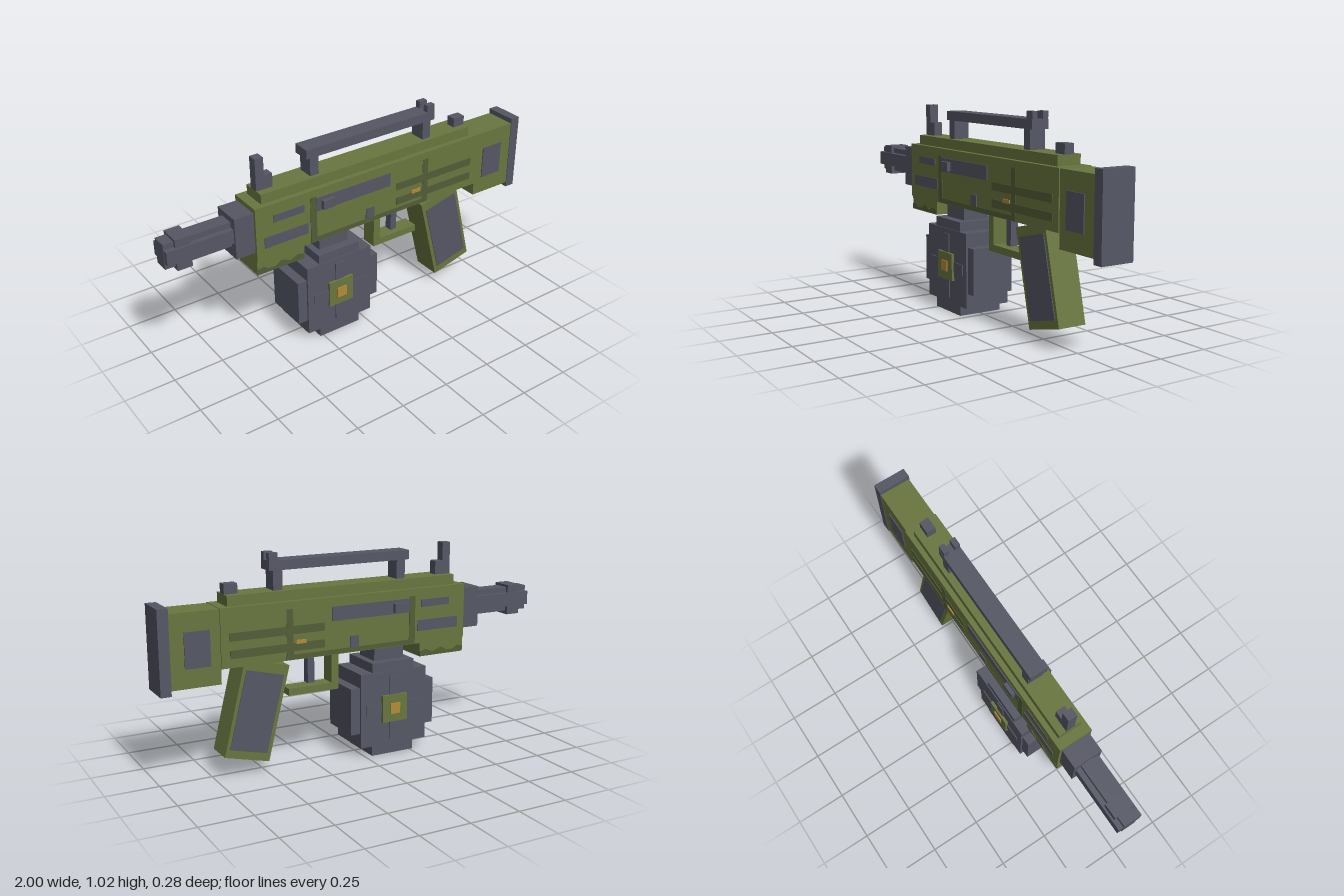
import * as THREE from 'three';

export function createModel() {
  const model = new THREE.Group();
  const paint = (name, color) => {
    const m = new THREE.MeshStandardMaterial({ color });
    m.name = name;
    return m;
  };
  const green = paint('olive green', 0x69763f);
  const darkGreen = paint('dark olive', 0x525d36);
  const grey = paint('gunmetal grey', 0x555764);
  const gold = paint('brass', 0xb38b38);

  const add = (name, geometry, material) => {
    const mesh = new THREE.Mesh(geometry, material);
    mesh.name = name;
    model.add(mesh);
    return mesh;
  };
  // Box from ranges in x, y and z
  const range = (name, mat, x0, x1, y0, y1, z0, z1) =>
    add(name, new THREE.BoxGeometry(x1 - x0, y1 - y0, z1 - z0), mat)
      .position.set((x0 + x1) / 2, (y0 + y1) / 2, (z0 + z1) / 2);
  // Box centred on z = 0
  const box = (name, mat, x0, x1, y0, y1, z) => range(name, mat, x0, x1, y0, y1, -z, z);
  // Thin plates on both sides, ending at distance z
  const plates = (name, mat, x0, x1, y0, y1, z, t = 0.008) => {
    range(name + 'Left', mat, x0, x1, y0, y1, z - t, z);
    range(name + 'Right', mat, x0, x1, y0, y1, -z, t - z);
  };
  // Side outline extruded to half width z
  const slab = (name, mat, points, z) => {
    const shape = new THREE.Shape(points.map(([x, y]) => new THREE.Vector2(x, y)));
    const g = new THREE.ExtrudeGeometry(shape, { depth: 2 * z, bevelEnabled: false });
    add(name, g.translate(0, 0, -z), mat);
  };

  // Barrel and collar
  box('barrelCore', grey, -1, -0.67, 0.63, 0.754, 0.037);
  box('barrelSides', grey, -0.998, -0.67, 0.658, 0.727, 0.062);
  box('muzzleRing', grey, -0.95, -0.877, 0.612, 0.766, 0.052);
  box('barrelCollar', grey, -0.675, -0.578, 0.578, 0.782, 0.073);

  // Receiver, stock and butt
  box('receiver', green, -0.578, 0.717, 0.53, 0.805, 0.086);
  box('topRail', green, -0.53, 0.673, 0.805, 0.853, 0.061);
  box('foregrip', green, -0.578, -0.325, 0.46, 0.53, 0.08);
  slab('foregripRidge', darkGreen, [[-0.577, 0.461], [-0.326, 0.461], [-0.326, 0.485],
    [-0.36, 0.495], [-0.4, 0.478], [-0.45, 0.497], [-0.48, 0.478], [-0.52, 0.478],
    [-0.545, 0.495], [-0.577, 0.488]], 0.082);
  box('stock', green, 0.717, 0.95, 0.46, 0.803, 0.08);
  plates('stockPanel', grey, 0.765, 0.885, 0.55, 0.716, 0.085);
  box('buttPlate', grey, 0.95, 1, 0.436, 0.828, 0.083);

  // Grooves and panels on the receiver
  plates('frontSeam', darkGreen, -0.29, -0.257, 0.555, 0.77, 0.089);
  plates('lowerSeam', darkGreen, -0.29, 0.4, 0.532, 0.555, 0.088);
  plates('rearSeam', darkGreen, 0.365, 0.398, 0.555, 0.77, 0.0885);
  for (const y of [0.572, 0.652]) plates('rearGroove', darkGreen, 0.205, 0.675, y, y + 0.038, 0.0895);
  plates('upperVent', grey, -0.487, -0.325, 0.712, 0.748, 0.09);
  plates('lowerVent', grey, -0.537, -0.305, 0.593, 0.647, 0.09);
  plates('ejectionPort', grey, -0.257, 0.165, 0.692, 0.76, 0.091);
  plates('catch', grey, 0.023, 0.07, 0.555, 0.61, 0.091);
  plates('brassPin', gold, 0.3, 0.352, 0.605, 0.623, 0.092);
  box('chargingKnob', grey, -0.232, -0.166, 0.7, 0.745, 0.11);

  // Sights and carrying handle
  box('frontSightBase', grey, -0.53, -0.445, 0.85, 0.92, 0.023);
  box('frontSightPost', grey, -0.53, -0.487, 0.9, 1.01, 0.023);
  box('rearBlock', grey, 0.607, 0.672, 0.85, 0.9, 0.024);
  for (const x of [-0.257, 0.394]) box('handlePost', grey, x, x + 0.046, 0.85, 0.95, 0.041);
  box('handleBar', grey, -0.278, 0.46, 0.945, 0.99, 0.045);
  for (const s of [-1, 1])
    range('rearSightProng', grey, 0.416, 0.46, 0.985, 1.025, s * 0.029 - 0.014, s * 0.029 + 0.014);

  // Drum magazine: three stacked blocks round one centre
  box('drumNeck', grey, -0.235, -0.072, 0.45, 0.535, 0.07);
  box('drumTall', grey, -0.267, -0.037, 0, 0.466, 0.115);
  box('drumMiddle', grey, -0.337, 0.028, 0.05, 0.42, 0.12);
  box('drumWide', grey, -0.385, 0.077, 0.122, 0.352, 0.11);
  plates('drumBarAcross', grey, -0.305, -0.003, 0.21, 0.262, 0.125);
  plates('drumBarUpright', grey, -0.18, -0.13, 0.075, 0.395, 0.125);
  plates('drumHub', green, -0.222, -0.086, 0.167, 0.302, 0.134, 0.015);
  plates('drumPin', gold, -0.18, -0.127, 0.208, 0.261, 0.14);

  // Trigger and guard
  box('guardPost', green, 0.107, 0.145, 0.345, 0.535, 0.04);
  box('guardBar', green, 0.107, 0.37, 0.345, 0.379, 0.04);
  box('trigger', grey, 0.227, 0.262, 0.388, 0.535, 0.02);

  // Slanted pistol grip
  slab('pistolGrip', green, [[0.38, 0.503], [0.492, 0.053], [0.711, 0.108], [0.604, 0.54], [0.53, 0.54]], 0.072);
  slab('gripPanels', grey, [[0.41, 0.462], [0.503, 0.096], [0.685, 0.142], [0.594, 0.508]], 0.076);

  return model;
}
